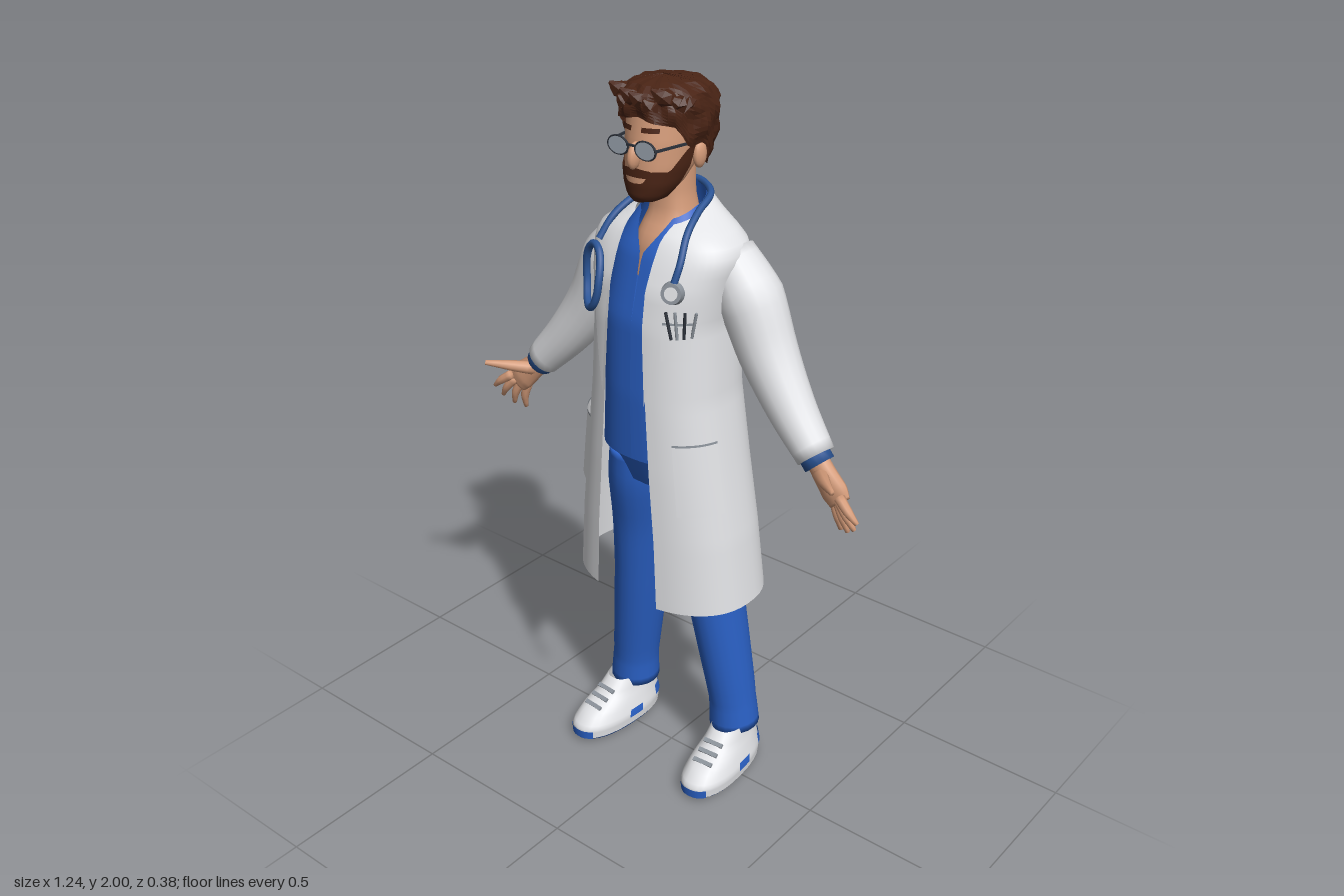
import * as THREE from 'three';
import { mergeVertices } from 'three/addons/utils/BufferGeometryUtils.js';

const paint = (name, color) => Object.assign(
  new THREE.MeshStandardMaterial({ color, side: THREE.DoubleSide }), { name });
const PI = Math.PI, V = (x, y, z) => new THREE.Vector3(x, y, z);
const lerp = THREE.MathUtils.lerp;
const call = (f, x) => (typeof f === 'function' ? f(x) : f);

// Interpolates a table of rows by its first column
function at(rows, k) {
  let i = 0;
  while (i < rows.length - 2 && k > rows[i + 1][0]) i++;
  const a = rows[i], b = rows[i + 1];
  const f = THREE.MathUtils.clamp((k - a[0]) / (b[0] - a[0]), 0, 1);
  return a.map((v, j) => lerp(v, b[j], f));
}

// Smooth surface from a grid of points f(u, v)
function grid(nu, nv, f) {
  const pos = [], idx = [];
  for (let j = 0; j <= nv; j++) for (let i = 0; i <= nu; i++) pos.push(...f(i / nu, j / nv).toArray());
  for (let j = 0; j < nv; j++) for (let i = 0; i < nu; i++) {
    const a = j * (nu + 1) + i, c = a + nu + 1;
    idx.push(a, a + 1, c, a + 1, c + 1, c);
  }
  const g = new THREE.BufferGeometry();
  g.setAttribute('position', new THREE.Float32BufferAttribute(pos, 3));
  g.setIndex(idx);
  const m = mergeVertices(g, 1e-5);
  m.computeVertexNormals();
  return m;
}

// Body profile rows: [y, half width, front z, back z, front opening, vent, collar tilt]
function onBody(rows, y, t, off = 0) {
  const [, w, zf, zb, , , tilt = 0] = at(rows, y), e = rows.e ?? 0.85;
  const s = Math.sin(t), c = Math.cos(t), p = (v) => Math.sign(v) * Math.abs(v) ** e;
  return V(w * p(s) + off * s, y - tilt * c, (zf + zb) / 2 + (zf - zb) / 2 * p(c) + off * c);
}
const angleAt = (rows, x, w) => Math.asin(Math.min(1, x / w) ** (1 / (rows.e ?? 0.85)));
function panel(rows, tA, tB, yA, yB, off = 0, nu = 16, nv = 10) {
  return grid(nu, nv, (u, v) => {
    const k = lerp(yA, yB, v), t = lerp(call(tA, k), call(tB, k), u);
    const y = lerp(call(yA, t), call(yB, t), v);
    return onBody(rows, y, t, call(off, [t, y]));
  });
}

// Limb through [x, y, z, in-plane radius, z radius], closed at both ends
function limb(pts, sides = 12, steps = 14) {
  const curve = new THREE.CatmullRomCurve3(pts.map((p) => V(p[0], p[1], p[2])));
  return grid(sides, steps + 2, (u, v) => {
    const k = Math.round(v * (steps + 2)) - 1, f = THREE.MathUtils.clamp(k / steps, 0, 1);
    const g = f * (pts.length - 1), i = Math.min(Math.floor(g), pts.length - 2);
    const end = k < 0 || k > steps ? 0 : 1;
    const r = [3, 4].map((n) => end * lerp(pts[i][n] ?? pts[i][3], pts[i + 1][n] ?? pts[i + 1][3], g - i));
    const T = curve.getTangent(f), U = V(0, 0, 1).cross(T).normalize(), W = T.clone().cross(U);
    return curve.getPoint(f).addScaledVector(U, r[0] * Math.cos(u * 2 * PI)).addScaledVector(W, r[1] * Math.sin(u * 2 * PI));
  });
}

const coatRows = [
  [0.6, 0.27, 0.19, -0.195, 0.095, 0.035, 0], [0.8, 0.25, 0.19, -0.18, 0.088, 0.018, 0],
  [1.0, 0.222, 0.19, -0.165, 0.074, 0, 0], [1.2, 0.195, 0.187, -0.152, 0.062, 0, 0],
  [1.4, 0.185, 0.18, -0.15, 0.053, 0, 0], [1.5, 0.2, 0.165, -0.15, 0.053, 0, 0],
  [1.57, 0.215, 0.135, -0.143, 0.055, 0, 0], [1.61, 0.195, 0.112, -0.133, 0.056, 0, 0],
  [1.64, 0.14, 0.095, -0.118, 0.058, 0, 0.01], [1.668, 0.092, 0.08, -0.1, 0.06, 0, 0.03]];
const shirtRows = [
  [1.02, 0.165, 0.165, -0.12, 0, 0, 0], [1.2, 0.15, 0.168, -0.11, 0, 0, 0],
  [1.4, 0.155, 0.16, -0.11, 0, 0, 0], [1.57, 0.14, 0.118, -0.11, 0.003, 0, 0],
  [1.63, 0.105, 0.09, -0.1, 0.035, 0, 0.01], [1.678, 0.076, 0.07, -0.088, 0.05, 0, 0.03]];
const neckRows = [[1.5, 0.08, 0.1, -0.05], [1.59, 0.08, 0.085, -0.06], [1.65, 0.062, 0.05, -0.07],
  [1.7, 0.052, 0.042, -0.062], [1.82, 0.05, 0.04, -0.06]];
const headRows = Object.assign([[1.7, 0.002, 0.1, 0.09], [1.702, 0.028, 0.122, 0.05], [1.72, 0.048, 0.134, 0.02],
  [1.75, 0.067, 0.136, -0.02], [1.79, 0.08, 0.135, -0.06], [1.85, 0.087, 0.132, -0.09],
  [1.92, 0.088, 0.12, -0.1], [1.96, 0.068, 0.09, -0.08], [1.985, 0.002, 0.01, 0]], { e: 0.95 });
const hairRows = Object.assign([[1.74, 0.066, 0.1, -0.078], [1.8, 0.093, 0.12, -0.108], [1.87, 0.108, 0.13, -0.12],
  [1.93, 0.111, 0.133, -0.121], [1.965, 0.098, 0.128, -0.098], [1.985, 0.07, 0.105, -0.065],
  [1.995, 0.002, 0.03, 0.025]], { e: 0.95 });
const shoeRows = [[0, 0.002, 0.02, 0.015], [0.004, 0.064, 0.165, -0.13], [0.014, 0.071, 0.178, -0.138], [0.045, 0.074, 0.18, -0.14],
  [0.078, 0.064, 0.145, -0.135], [0.11, 0.054, 0.08, -0.13], [0.15, 0.046, 0.035, -0.12]];

export function createModel() {
  const root = new THREE.Group();
  root.name = 'doctor';
  const white = paint('coat white', 0xe2e3e6), blue = paint('scrub blue', 0x2a60c4), skin = paint('skin', 0xd59c7a);
  const hair = paint('hair brown', 0x4a2415), tubeBlue = paint('tube blue', 0x2c5698), grey = paint('metal grey', 0x8d949c);
  const dark = paint('frame dark', 0x2d323b), lens = paint('lens', 0xa4aeba);
  const add = (name, geo, mat, parent = root) => {
    const m = new THREE.Mesh(geo, mat);
    m.name = name;
    parent.add(m);
    return m;
  };

  // Open garments made of two mirrored halves
  const edge = (rows, y, wide = 1) => { const r = at(rows, y); return angleAt(rows, r[4] * wide, r[1]); };
  const vent = (rows, y) => { const r = at(rows, y); return angleAt(rows, r[5], r[1]); };
  const garment = (name, rows, mat, wide, nv) => {
    const y0 = rows[0][0], y1 = rows.at(-1)[0];
    add(name + 'Left', panel(rows, (y) => edge(rows, y), (y) => PI - vent(rows, y), y0, y1, 0, 24, nv), mat);
    add(name + 'Right', panel(rows, (y) => PI + vent(rows, y), (y) => 2 * PI - edge(rows, y, wide), y0, y1, 0, 24, nv), mat);
  };
  garment('coat', coatRows, white, 1.2, 48);
  garment('shirt', shirtRows, blue, 1, 32);
  add('trouserTop', panel([[0.92, 0.15, 0.11, -0.125], [1.04, 0.165, 0.155, -0.12]], 0, 2 * PI, 0.92, 1.04, 0, 28, 3), blue);
  add('neck', panel(neckRows, 0, 2 * PI, 1.5, 1.8, 0, 24, 14), skin);

  for (const s of [1, -1]) {
    const side = s > 0 ? 'left' : 'right', w = s > 0 ? 1 : 1.2;
    const M = (pts) => pts.map(([x, ...r]) => [s * x, ...r]);
    // Lapels and pockets lie just above the coat
    add(side + 'Lapel', panel(coatRows, (y) => s * edge(coatRows, y, w),
      (y) => s * (edge(coatRows, y, w) + 0.34 * Math.min(1, (y - 1.2) / 0.25)), 1.2, 1.655, 0.007, 5, 20), white);
    add(side + 'Pocket', panel(coatRows, s * 0.62, s * 1.3, 0.9, 1.1, 0.008, 8, 6), white);
    add(side + 'PocketSeam', panel(coatRows, s * 0.62, s * 1.3, 1.098, 1.104, 0.009, 8, 1), grey);
    // Arm
    add(side + 'Sleeve', limb(M([[0.15, 1.565, -0.04, 0.06, 0.07], [0.222, 1.465, -0.035, 0.085, 0.085], [0.285, 1.335, -0.03, 0.077, 0.075],
      [0.37, 1.215, -0.015, 0.063, 0.062], [0.46, 1.115, 0, 0.05, 0.05]]), 18, 20), white);
    add(side + 'Cuff', limb(M([[0.44, 1.135, 0, 0.041], [0.474, 1.098, 0.003, 0.041]]), 14, 2), tubeBlue);
    add(side + 'Palm', limb(M([[0.455, 1.12, 0, 0.03, 0.026], [0.49, 1.083, 0.008, 0.034, 0.024],
      [0.53, 1.045, 0.016, 0.041, 0.021], [0.55, 1.022, 0.02, 0.034, 0.013]])), skin);
    [[0.556, 1.047, 0.035, 0.617, 0.998, 0.045], [0.551, 1.033, 0.026, 0.601, 0.968, 0.03],
      [0.539, 1.024, 0.014, 0.573, 0.946, 0.014], [0.522, 1.02, 0.004, 0.543, 0.936, -0.002]].forEach(([a, b, c, d, e, f], i) =>
      add(side + 'Finger' + (i + 1), limb(M([[a, b, c, 0.014], [(a + d) / 2 + 0.004, (b + e) / 2, (c + f) / 2 + 0.006, 0.012], [d, e, f, 0.006]]), 8, 6), skin));
    add(side + 'Thumb', limb(M([[0.485, 1.08, 0.015, 0.02], [0.53, 1.093, 0.065, 0.015], [0.582, 1.104, 0.112, 0.007]]), 8, 6), skin);
    // Leg and shoe
    add(side + 'TrouserLeg', limb(M([[0.078, 1.0, 0.005, 0.083, 0.125], [0.09, 0.9, 0, 0.088, 0.12], [0.11, 0.75, -0.02, 0.082, 0.105],
      [0.13, 0.58, -0.03, 0.074, 0.09], [0.155, 0.4, -0.043, 0.071, 0.08], [0.18, 0.22, -0.055, 0.066, 0.07],
      [0.187, 0.13, -0.058, 0.071, 0.073]]), 20, 24), blue);
    const shoe = new THREE.Group();
    shoe.name = side + 'Shoe';
    shoe.position.x = s * 0.197;
    shoe.rotation.y = s * 0.08;
    root.add(shoe);
    add('sole', panel(shoeRows, 0, 2 * PI, 0, 0.014, 0, 28, 7), blue, shoe);
    add('upper', panel(shoeRows, 0, 2 * PI, 0.014, 0.15, 0, 28, 14), white, shoe);
    add('toePatch', panel(shoeRows, -0.55, 0.55, 0.014, 0.04, 0.003, 8, 3), blue, shoe);
    for (const k of [1, -1]) {
      add('heelPatch', panel(shoeRows, k * 2.25, k * 2.8, 0.05, 0.08, 0.003, 6, 3), blue, shoe);
      add('sidePatch', panel(shoeRows, k * 1.5, k * 1.75, 0.04, 0.062, 0.003, 4, 2), blue, shoe);
    }
    for (let i = 0; i < 3; i++) {
      const lace = add('lace', new THREE.BoxGeometry(0.06, 0.008, 0.012), grey, shoe);
      lace.position.set(0, 0.092 + i * 0.016, 0.115 - i * 0.027);
      lace.rotation.x = 0.6;
    }
    // Ear, brow and glasses
    const ear = add(side + 'Ear', new THREE.SphereGeometry(1, 12, 10), skin);
    ear.scale.set(0.014, 0.034, 0.022);
    ear.position.set(s * 0.091, 1.812, 0.005);
    add(side + 'Brow', panel(headRows, s * 0.15, s * 0.62, 1.878, 1.89, 0.006, 6, 2), hair);
    const lensMesh = add(side + 'Lens', new THREE.CylinderGeometry(0.03, 0.03, 0.004, 20), lens);
    const rim = add(side + 'Rim', new THREE.TorusGeometry(0.031, 0.003, 6, 24), dark);
    lensMesh.rotation.x = PI / 2;
    lensMesh.scale.z = 0.72;
    rim.scale.y = 0.72;
    for (const m of [lensMesh, rim]) m.position.set(s * 0.042, 1.843, 0.148);
    const temple = add(side + 'Temple', new THREE.BoxGeometry(0.005, 0.006, 0.15), dark);
    temple.position.set(s * 0.085, 1.847, 0.073);
    temple.rotation.y = -s * 0.16;
  }
  add('glassesBridge', new THREE.BoxGeometry(0.026, 0.005, 0.005), dark).position.set(0, 1.85, 0.15);

  // Head, beard and hair
  add('head', panel(headRows, 0, 2 * PI, 1.7, 1.985, 0, 28, 30), skin);
  const nose = add('nose', new THREE.SphereGeometry(1, 12, 10), skin);
  nose.scale.set(0.014, 0.034, 0.024);
  nose.position.set(0, 1.822, 0.137);
  nose.rotation.x = -0.25;
  const jaw = [[0, 1.755], [0.3, 1.757], [0.5, 1.788], [1, 1.785], [1.35, 1.83], [1.6, 1.85]];
  add('beard', panel(headRows, -1.6, 1.6, 1.7, (t) => at(jaw, Math.abs(t))[1], 0.006, 40, 10), hair);
  add('moustache', panel(headRows, -0.5, 0.5, 1.771, (t) => 1.795 - 0.012 * Math.abs(t), 0.009, 12, 3), hair);
  const hairline = [[0, 1.912], [0.9, 1.892], [1.2, 1.835], [1.65, 1.842], [2, 1.775], [PI, 1.752]];
  add('hair', panel(hairRows, 0, 2 * PI, (t) => at(hairline, Math.min(t, 2 * PI - t))[1], 1.995,
    ([t, y]) => 0.004 * Math.sin(11 * t + y * 45) + 0.003 * Math.sin(5 * t - y * 80), 44, 14).toNonIndexed(), hair)
    .geometry.computeVertexNormals();
  for (let i = 0; i < 8; i++) {
    const x = -0.091 + i * 0.026, lift = 0.012 * Math.sin(i * 2.3), z = 0.125 - 6 * x * x;
    const tuft = limb([[x, 1.945, z - 0.04, 0.018], [x - 0.008, 1.95 + lift, z, 0.024], [x - 0.024 + 0.008 * Math.sin(i * 4), 1.968 + lift, z + 0.016, 0.004]], 6, 5).toNonIndexed();
    tuft.computeVertexNormals();
    add('hairTuft', tuft, hair);
  }

  // Stethoscope draped round the collar, with a hanging loop and a chest piece
  const onCoat = (x, y, off = 0.014) => onBody(coatRows, y, Math.sign(x) * angleAt(coatRows, Math.abs(x), at(coatRows, y)[1]), off);
  const drape = [onCoat(0.118, 1.53), onCoat(0.122, 1.575), V(0.115, 1.635, 0.082), V(0.1, 1.672, 0.02), V(0.08, 1.698, -0.055),
    V(0, 1.708, -0.098), V(-0.08, 1.698, -0.055), V(-0.1, 1.672, 0.02), V(-0.118, 1.635, 0.082), onCoat(-0.125, 1.58)];
  add('stethoscopeTube', new THREE.TubeGeometry(new THREE.CatmullRomCurve3(drape), 60, 0.009, 8), tubeBlue);
  const loop = Array.from({ length: 16 }, (_, i) => {
    const a = i / 16 * 2 * PI;
    return onCoat(-0.127 + 0.042 * Math.cos(a), 1.488 + 0.08 * Math.sin(a), 0.018);
  });
  add('stethoscopeLoop', new THREE.TubeGeometry(new THREE.CatmullRomCurve3(loop, true), 48, 0.01, 8, true), tubeBlue);
  const chest = add('chestPiece', new THREE.CylinderGeometry(0.026, 0.03, 0.018, 20), grey);
  chest.position.copy(onCoat(0.118, 1.508, 0.012));
  chest.rotation.set(PI / 2 - 0.2, 0, -0.35);
  const disc = add('chestPieceFace', new THREE.CylinderGeometry(0.017, 0.017, 0.022, 20), white);
  disc.position.copy(chest.position);
  disc.rotation.copy(chest.rotation);

  // Breast pocket with pens
  add('breastPocket', panel(coatRows, 0.5, 0.95, 1.33, 1.43, 0.006, 6, 4), white);
  add('breastPocketSeam', panel(coatRows, 0.5, 0.95, 1.425, 1.431, 0.008, 6, 1), grey);
  for (let i = 0; i < 4; i++) {
    const pen = add('pen', new THREE.CylinderGeometry(0.004, 0.004, 0.07, 8), i % 2 ? grey : dark);
    pen.position.copy(onCoat(0.115 + i * 0.015, 1.425, 0.01));
    pen.rotation.z = 0.25 - i * 0.15;
  }
  return root;
}
